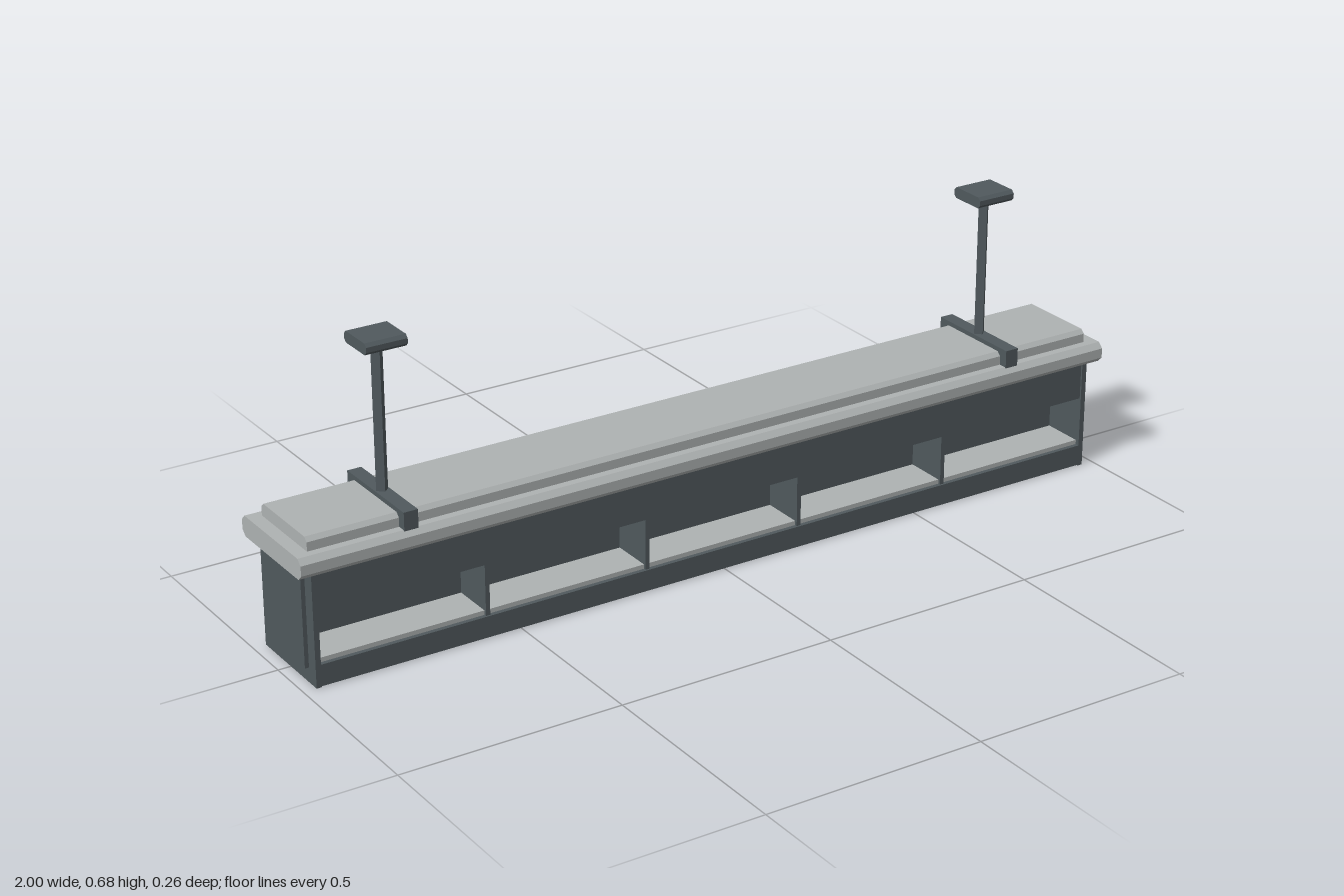
import * as THREE from 'three';

const dark = new THREE.MeshStandardMaterial({ color: 0x50595d });
dark.name = 'darkSlate';
const light = new THREE.MeshStandardMaterial({ color: 0xaeb2b2 });
light.name = 'paleGrey';

export function createModel() {
  const model = new THREE.Group();
  model.name = 'hangingShelf';

  function add(name, geometry, material, x = 0, y = 0, z = 0) {
    const mesh = new THREE.Mesh(geometry, material);
    mesh.name = name;
    mesh.position.set(x, y, z);
    model.add(mesh);
    return mesh;
  }

  // Box given by its bottom and top heights
  function box(name, material, w, y0, y1, d, x = 0, z = 0) {
    return add(name, new THREE.BoxGeometry(w, y1 - y0, d), material, x, (y0 + y1) / 2, z);
  }

  // Slab running along x, with chamfered long edges
  function slab(name, material, length, y0, y1, halfDepth, top, bottom, x = 0) {
    const h = halfDepth;
    const shape = new THREE.Shape([
      [-h + bottom, y0], [h - bottom, y0], [h, y0 + bottom], [h, y1 - top],
      [h - top, y1], [-h + top, y1], [-h, y1 - top], [-h, y0 + bottom],
    ].map(([u, v]) => new THREE.Vector2(u, v)));
    const geometry = new THREE.ExtrudeGeometry(shape, { depth: length, bevelEnabled: false });
    geometry.translate(0, 0, -length / 2).rotateY(Math.PI / 2);
    return add(name, geometry, material, x);
  }

  // Stepped top
  slab('topSlab', light, 2, 0.25, 0.296, 0.128, 0.012, 0.012);
  slab('upperSlab', light, 1.94, 0.294, 0.325, 0.098, 0.009, 0);

  // Shelf floor and the wall along its middle
  box('shelfFloor', light, 1.92, 0.045, 0.06, 0.204);
  box('middleWall', dark, 1.92, 0.06, 0.25, 0.012);

  // Rails and header boards on both long sides
  for (const s of [-1, 1]) {
    box('bottomRail', dark, 1.93, 0.002, 0.05, 0.012, 0, s * 0.106);
    box('headerBoard', dark, 1.92, 0.165, 0.25, 0.012, 0, s * 0.102);
  }

  // Dividers between the five bays
  for (let i = 0; i < 4; i++) {
    box('divider', dark, 0.01, 0.004, 0.166, 0.216, -0.576 + i * 0.384);
  }

  for (const s of [-1, 1]) {
    // End walls with a raised panel
    box('endWall', dark, 0.012, 0, 0.25, 0.224, s * 0.965);
    box('endPanel', dark, 0.012, 0.034, 0.236, 0.164, s * 0.974);

    // Hangers: cross bar, rod and ceiling plate
    box('crossBar', dark, 0.032, 0.294, 0.335, 0.238, s * 0.75);
    const rod = new THREE.CylinderGeometry(0.0135, 0.0135, 0.32, 4).toNonIndexed();
    rod.computeVertexNormals();
    add('hangerRod', rod, dark, s * 0.75, 0.492, 0);
    slab('ceilingPlate', dark, 0.092, 0.65, 0.675, 0.046, 0.007, 0.007, s * 0.75);
  }

  return model;
}
